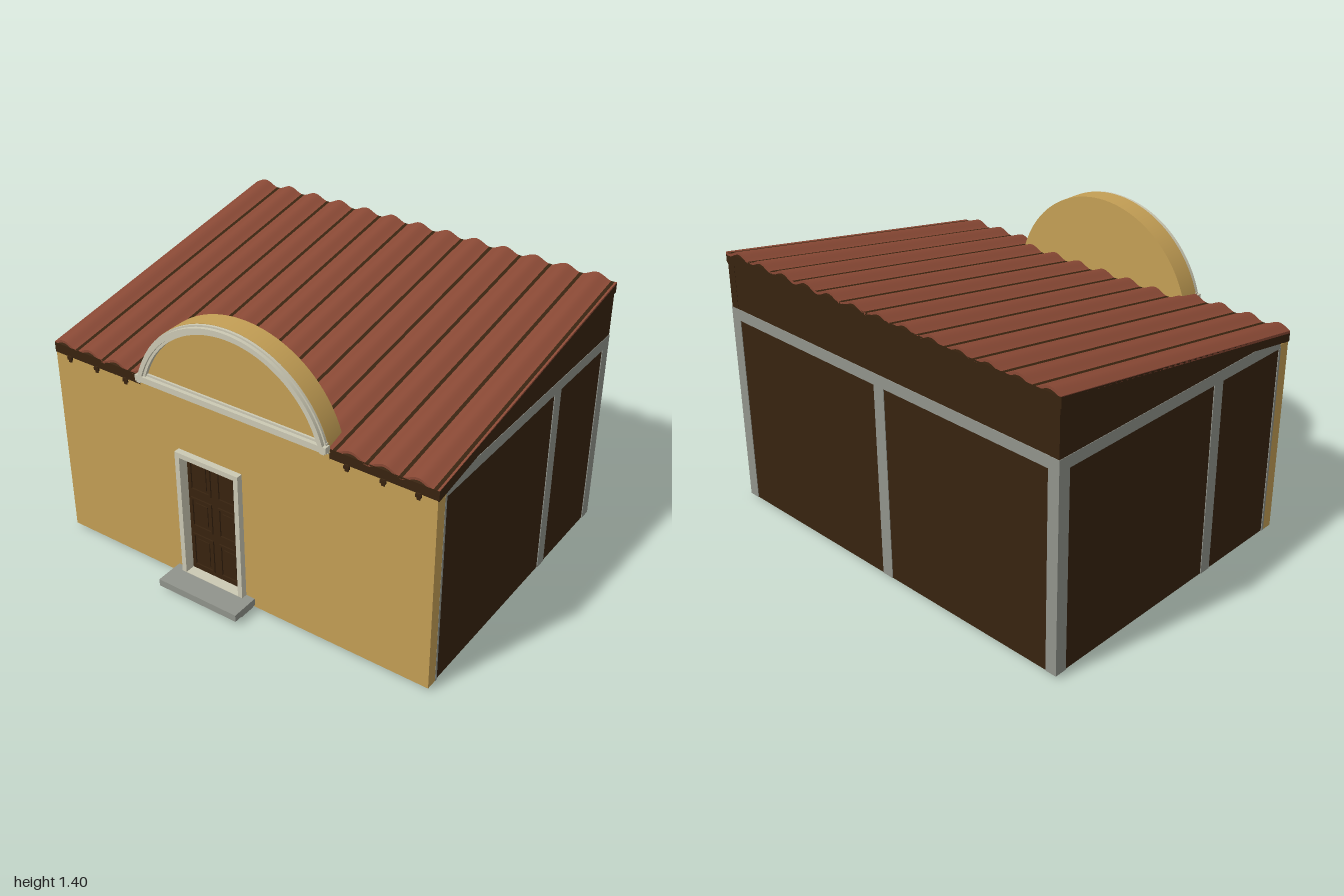
import * as THREE from 'three';
import { toCreasedNormals } from 'three/addons/utils/BufferGeometryUtils.js';

const material = (name, color, side = THREE.FrontSide) => {
  const m = new THREE.MeshStandardMaterial({ color, side });
  m.name = name;
  return m;
};

export function createModel() {
  const group = new THREE.Group();
  const ochre = material('ochre plaster', 0xc49f55);
  const wood = material('dark wood', 0x38230f);
  const stone = material('grey stone', 0x91948c);
  const tile = material('terracotta tile', 0x8a4935, THREE.DoubleSide);
  const trim = material('pale trim', 0xccc9b4);

  const add = (name, geometry, mat, parent = group) => {
    const mesh = new THREE.Mesh(geometry, mat);
    mesh.name = name;
    parent.add(mesh);
    return mesh;
  };
  // box given by its minimum and maximum on each axis
  const box = (name, mat, x0, x1, y0, y1, z0, z1) => {
    const g = new THREE.BoxGeometry(x1 - x0, y1 - y0, z1 - z0);
    g.translate((x0 + x1) / 2, (y0 + y1) / 2, (z0 + z1) / 2);
    return add(name, g, mat);
  };
  const extrude = (shape, depth, z = 0) => {
    const g = new THREE.ExtrudeGeometry(shape, { depth, bevelEnabled: false, curveSegments: 40 });
    return g.translate(0, 0, z);
  };
  const polygon = (pts) => new THREE.Shape(pts.map(([x, y]) => new THREE.Vector2(x, y)));
  // side profile (z, y) extruded across the width from x0 to x1
  const sideExtrude = (pts, x0, x1) =>
    extrude(polygon(pts), x1 - x0).rotateY(-Math.PI / 2).translate(x1, 0, 0);

  const FRONT = 0.68, BACK = -0.82, SLOPE = 0.17;

  // front wall with door opening
  const wall = polygon([[-0.995, 0.015], [0.995, 0.015], [0.995, 0.972], [-0.995, 0.972]]);
  wall.holes.push(polygon([[-0.285, 0.05], [-0.285, 0.7], [0.03, 0.7], [0.03, 0.05]]));
  add('frontWall', extrude(wall, 0.06, 0.62), ochre);
  box('frontWallTop', ochre, -0.495, 0.495, 0.965, 1.01, 0.615, 0.682);

  // timber side and back walls
  box('backWall', wood, -0.992, 0.992, 0.015, 1.26, -0.817, -0.78);
  for (const s of [-1, 1]) {
    const x0 = s > 0 ? 0.955 : -0.992;
    box('sideWall', wood, x0, x0 + 0.037, 0.015, 1.015, -0.8, 0.62);
    add('gable', sideExtrude([[0.45, 1.005], [-0.818, 1.005], [-0.818, 1.25], [0.45, 1.035]],
      s > 0 ? 0.95 : -0.994, s > 0 ? 0.994 : -0.95), wood);
    // grey frame on each side
    const p0 = s > 0 ? 0.985 : -0.996, p1 = p0 + 0.011;
    box('sideBeam', stone, p0, p1, 0.955, 1.01, -0.82, 0.62);
    box('frontPost', stone, p0, p1, 0.015, 0.96, 0.612, 0.625);
    const mid = s > 0 ? -0.32 : 0.17;
    box('sidePost', stone, p0, p1, 0.015, 0.96, mid - 0.03, mid + 0.03);
    box('backCornerPost', stone, s > 0 ? 0.94 : -0.996, s > 0 ? 0.996 : -0.94, 0.015, 0.96, BACK, -0.81);
    box('sideCornerPost', stone, p0, p1, 0.015, 0.96, BACK, -0.76);
  }
  box('backBeam', stone, -0.996, 0.996, 0.955, 1.01, BACK, -0.81);
  box('backPost', stone, -0.03, 0.03, 0.015, 0.96, BACK, -0.81);

  // roof deck and rafters
  const deckRise = SLOPE * (FRONT - BACK);
  add('roofDeck', sideExtrude([[FRONT, 0.97], [FRONT, 1.018], [BACK, 1.018 + deckRise], [BACK, 0.97 + deckRise]], -1, 1), wood);
  for (const s of [-1, 1]) for (const x of [0.58, 0.75, 0.91]) {
    add('rafter', sideExtrude([[0.685, 0.945], [0.685, 0.975], [-0.78, 1.22], [-0.78, 1.194]],
      s * x - 0.008, s * x + 0.008), wood);
    box('rafterCap', wood, s * x - 0.013, s * x + 0.013, 0.957, 0.972, 0.6, 0.688);
  }

  // corrugated tiles: wavy band extruded along z and sheared to the pitch
  const N = 156, period = 2 / 13, upper = [], lower = [];
  for (let i = 0; i <= N; i++) {
    const x = -1 + (2 * i) / N;
    const y = 1.03 + 0.013 * Math.cos((2 * Math.PI * (x + 0.943)) / period);
    upper.push([x, y]);
    lower.unshift([x, y - 0.012]);
  }
  let roof = extrude(polygon([...upper, ...lower].reverse()), FRONT - BACK, BACK);
  const p = roof.attributes.position;
  for (let i = 0; i < p.count; i++) p.setY(i, p.getY(i) + SLOPE * (FRONT - p.getZ(i)));
  roof.computeVertexNormals();
  add('roofTiles', toCreasedNormals(roof, 0.7), tile);

  // arched pediment: circle segment above y = 1
  const R = 0.5125, CY = 0.8875;
  const arc = (r0, r1) => {
    const a = Math.asin((1 - CY) / r0), shape = new THREE.Shape();
    shape.absarc(0, CY, r0, a, Math.PI - a, false);
    if (r1) {
      const b = Math.asin((1 - CY) / r1);
      shape.absarc(0, CY, r1, Math.PI - b, b, true);
    }
    return shape;
  };
  add('pediment', toCreasedNormals(extrude(arc(R), 0.097, 0.585), 0.5), ochre);
  // stepped moulding round the arch and along its base
  for (const [r0, r1, d] of [[0.511, 0.495, 0.014], [0.503, 0.482, 0.03], [0.486, 0.47, 0.02]]) {
    add('archMoulding', toCreasedNormals(extrude(arc(r0, r1), d, FRONT), 0.5), trim);
  }
  box('baseMoulding', trim, -0.49, 0.49, 1.0, 1.045, FRONT, 0.692);
  box('baseMouldingLip', trim, -0.497, 0.497, 1.006, 1.035, FRONT, 0.71);

  // door frame
  const frame = polygon([[-0.3, 0.05], [0.045, 0.05], [0.045, 0.715], [-0.3, 0.715]]);
  frame.holes.push(polygon([[-0.276, 0.062], [-0.276, 0.69], [0.021, 0.69], [0.021, 0.062]]));
  add('doorFrame', extrude(frame, 0.096, 0.614), trim);

  // six panel door
  box('door', wood, -0.277, 0.022, 0.06, 0.692, 0.63, 0.66);
  for (const x of [-0.262, -0.11]) for (const [y0, y1] of [[0.085, 0.265], [0.305, 0.465], [0.505, 0.67]]) {
    const bead = polygon([[x, y0], [x + 0.117, y0], [x + 0.117, y1], [x, y1]]);
    const e = 0.01;
    bead.holes.push(polygon([[x + e, y0 + e], [x + e, y1 - e], [x + 0.117 - e, y1 - e], [x + 0.117 - e, y0 + e]]));
    add('doorPanelBead', extrude(bead, 0.008, 0.659), wood);
    box('doorPanel', wood, x + 0.025, x + 0.092, y0 + 0.025, y1 - 0.025, 0.659, 0.665);
  }
  box('doorHandle', wood, -0.002, 0.008, 0.315, 0.365, 0.66, 0.685);

  // entrance steps
  box('upperStep', stone, -0.345, 0.092, 0.025, 0.06, 0.675, 0.82);
  box('lowerStep', stone, -0.33, 0.077, 0, 0.025, 0.675, 0.76);

  return group;
}
